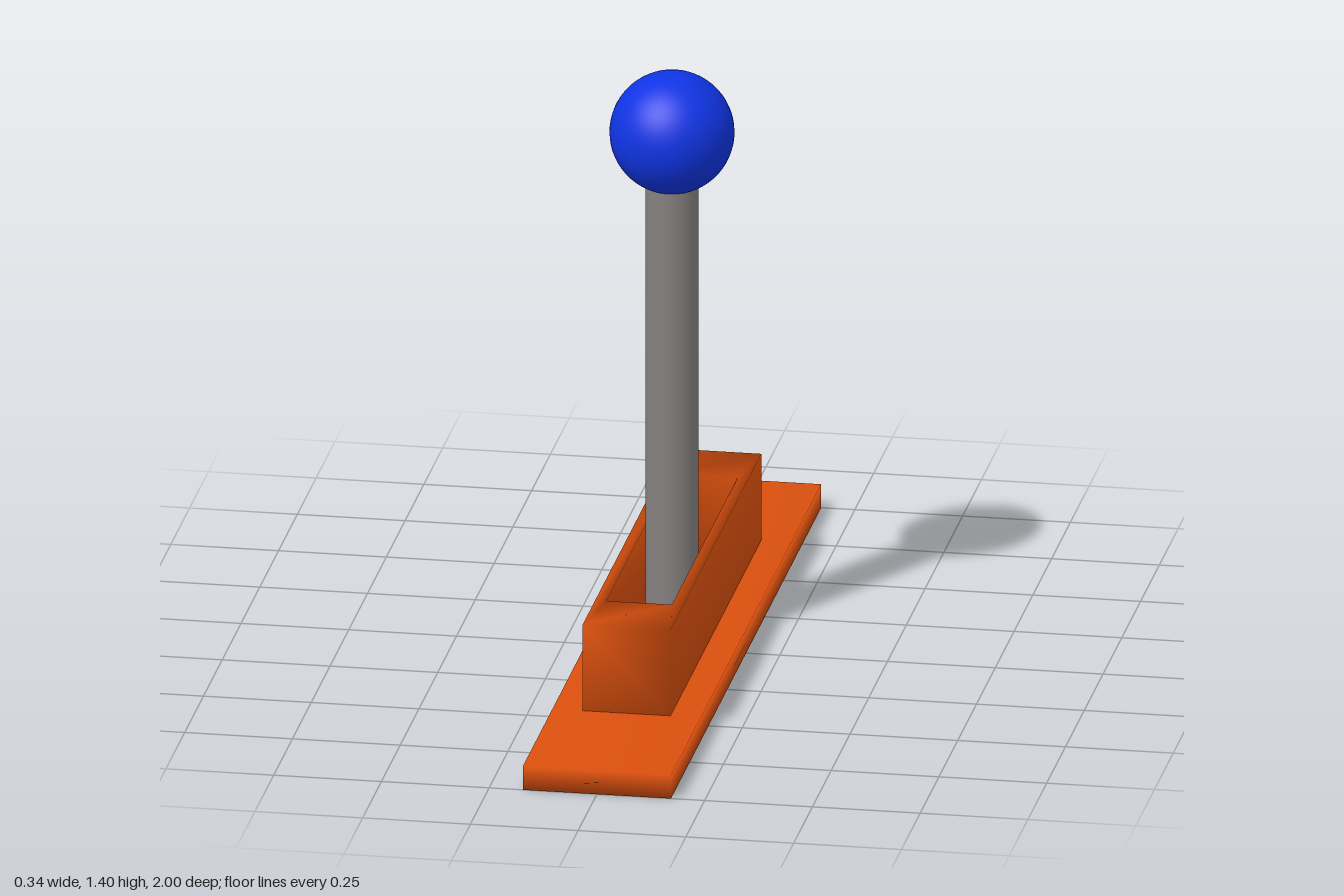
import * as THREE from 'three';
import { mergeVertices } from 'three/addons/utils/BufferGeometryUtils.js';

// Weld corners so the blocks shade smoothly around their edges
function soften(geometry) {
  geometry.deleteAttribute('normal');
  geometry.deleteAttribute('uv');
  const welded = mergeVertices(geometry, 1e-4);
  welded.computeVertexNormals();
  return welded;
}

// Outline of a centred rectangle, used for the block and its slot
function rectangle(path, halfX, halfZ) {
  path.moveTo(-halfX, -halfZ);
  path.lineTo(halfX, -halfZ);
  path.lineTo(halfX, halfZ);
  path.lineTo(-halfX, halfZ);
  path.closePath();
  return path;
}

export function createModel() {
  const group = new THREE.Group();
  const orange = new THREE.MeshStandardMaterial({ color: 0xdb500e });
  const steel = new THREE.MeshStandardMaterial({ color: 0x858080 });
  const blue = new THREE.MeshStandardMaterial({ color: 0x1034e4 });

  const add = (name, geometry, material, y) => {
    const mesh = new THREE.Mesh(geometry, material);
    mesh.name = name;
    mesh.position.y = y;
    group.add(mesh);
  };

  const plateTop = 0.057, blockTop = 0.266, knobY = 1.255;

  // Long flat base plate
  add('basePlate', soften(new THREE.BoxGeometry(0.344, plateTop, 2)), orange, plateTop / 2);

  // Raised block with a slot running down to the plate
  const outline = rectangle(new THREE.Shape(), 0.102, 0.605);
  outline.holes.push(rectangle(new THREE.Path(), 0.076, 0.437));
  const block = new THREE.ExtrudeGeometry(outline, { depth: blockTop - plateTop, bevelEnabled: false });
  block.rotateX(-Math.PI / 2);
  add('slottedBlock', soften(block), orange, plateTop);

  // Lever rod standing in the slot and reaching into the knob
  const rodTop = 1.16;
  add('leverRod', new THREE.CylinderGeometry(0.061, 0.061, rodTop - plateTop, 32), steel, (rodTop + plateTop) / 2);

  // Ball knob
  add('ballKnob', new THREE.SphereGeometry(0.143, 48, 32), blue, knobY);

  return group;
}
